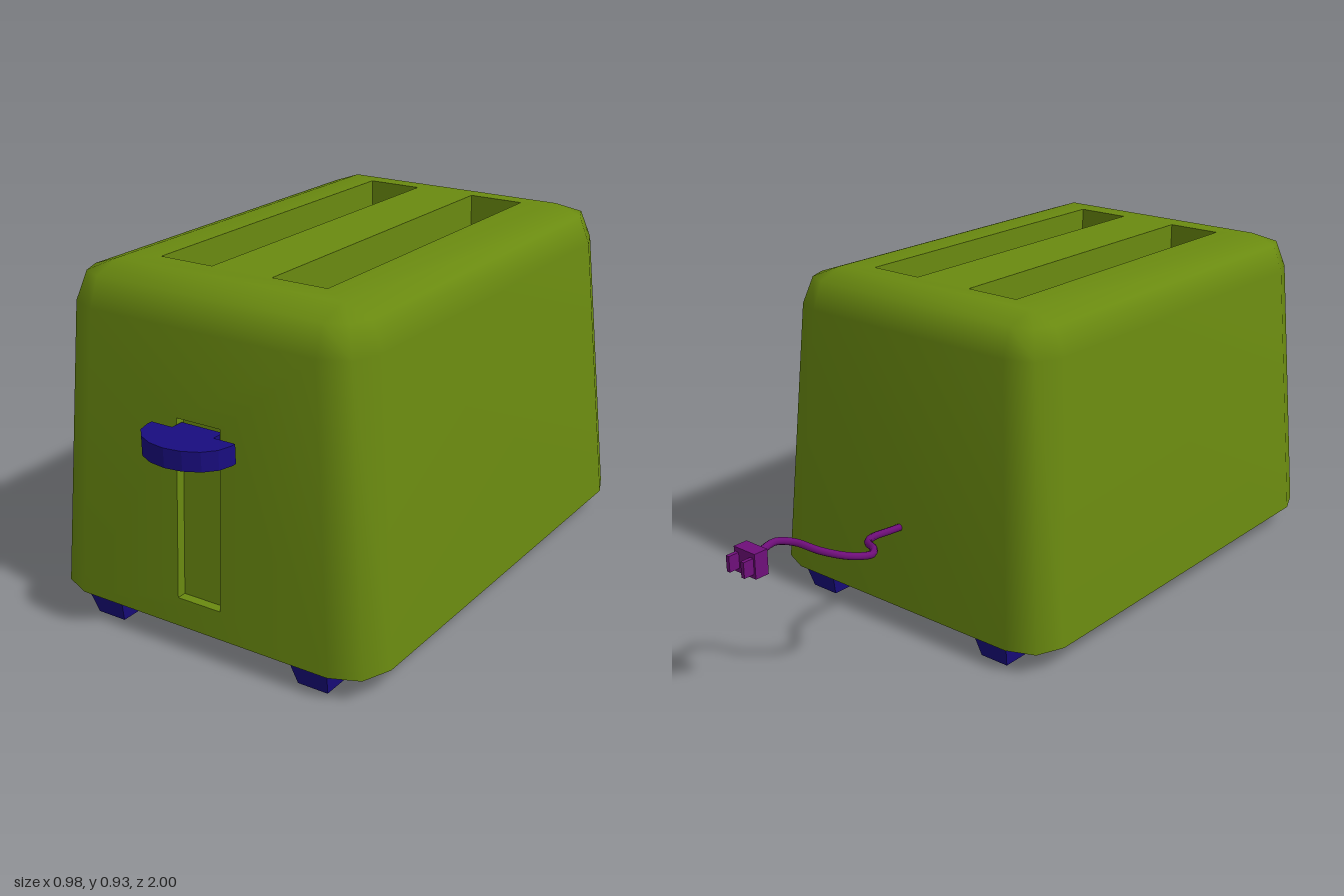
import * as THREE from 'three';
import { mergeVertices } from 'three/addons/utils/BufferGeometryUtils.js';

const green = new THREE.MeshStandardMaterial({ color: 0x6a8a10 });
const blue = new THREE.MeshStandardMaterial({ color: 0x190d80, flatShading: true });
const purple = new THREE.MeshStandardMaterial({ color: 0x6f0f7a });

const ZC = 0.228; // body centre along z
const SLOT = { x: 0.168, w: 0.157, z0: -0.25, z1: 0.69, floor: 0.25 };
const TRACK = { w: 0.13, y0: 0.14, y1: 0.605, depth: 0.025 };

// Body levels: height, half width, half length, corner radius
const LEVELS = [
  [0.065, 0.488, 0.683, 0.108],
  [0.825, 0.437, 0.632, 0.107],
  [0.9, 0.407, 0.602, 0.077],
  [0.927, 0.33, 0.525, 0],
];
const [BASE, SHOULDER, , TOP] = LEVELS;
// Depth of the sloping front wall at height y
const frontZ = (y) =>
  ZC + THREE.MathUtils.mapLinear(y, BASE[0], SHOULDER[0], BASE[2], SHOULDER[2]);

function mesh(name, geometry, material) {
  const m = new THREE.Mesh(geometry, material);
  m.name = name;
  return m;
}

// Rounded rectangle with two segments per corner
function ring([y, hx, hz, r]) {
  const pts = [];
  [[1, 1], [-1, 1], [-1, -1], [1, -1]].forEach(([sx, sz], k) => {
    for (let j = 0; j < 3; j++) {
      const a = (k + j / 2) * Math.PI / 2;
      pts.push([sx * (hx - r) + r * Math.cos(a), y, ZC + sz * (hz - r) + r * Math.sin(a)]);
    }
  });
  return pts;
}

const rect = (x0, y0, x1, y1) =>
  [[x0, y0], [x1, y0], [x1, y1], [x0, y1]].map(([x, y]) => new THREE.Vector2(x, y));

// Flat panel with rectangular openings, returned as loose triangle corners
function panel(outline, holes, place) {
  const shape = new THREE.Shape(outline);
  holes.forEach((h) => shape.holes.push(new THREE.Path(h)));
  const p = new THREE.ShapeGeometry(shape).toNonIndexed().attributes.position;
  const out = [];
  for (let i = 0; i < p.count; i++) out.push(...place(p.getX(i), p.getY(i)));
  return out;
}

function fromTriangles(positions) {
  const g = new THREE.BufferGeometry();
  g.setAttribute('position', new THREE.Float32BufferAttribute(positions, 3));
  return g;
}

// Box seen from inside, with one face left open
function pit(w, h, d, openFace) {
  const g = new THREE.BoxGeometry(w, h, d);
  const index = Array.from(g.index.array);
  index.splice(openFace * 6, 6);
  g.setIndex(index.reverse());
  g.computeVertexNormals();
  return g;
}

function createBody() {
  const body = new THREE.Group();
  body.name = 'body';
  const rings = LEVELS.map(ring);
  const n = rings[0].length;
  const tris = [];
  for (let l = 0; l < rings.length - 1; l++) {
    for (let i = 0; i < n; i++) {
      if (l === 0 && i === 2) continue; // front wall is the panel with the lever track
      const j = (i + 1) % n;
      const a = rings[l][i], b = rings[l + 1][i], c = rings[l + 1][j], d = rings[l][j];
      tris.push(...a, ...b, ...c, ...a, ...c, ...d);
    }
  }
  // Front wall
  const bx = BASE[1] - BASE[3], sx = SHOULDER[1] - SHOULDER[3];
  const wall = [[-bx, BASE[0]], [bx, BASE[0]], [sx, SHOULDER[0]], [-sx, SHOULDER[0]]]
    .map(([x, y]) => new THREE.Vector2(x, y));
  tris.push(...panel(wall, [rect(-TRACK.w / 2, TRACK.y0, TRACK.w / 2, TRACK.y1)],
    (x, y) => [x, y, frontZ(y)]));
  // Top with two bread openings
  const openings = [-1, 1].map((s) =>
    rect(s * SLOT.x - SLOT.w / 2, -SLOT.z1, s * SLOT.x + SLOT.w / 2, -SLOT.z0));
  tris.push(...panel(rect(-TOP[1], -ZC - TOP[2], TOP[1], -ZC + TOP[2]), openings,
    (x, y) => [x, TOP[0], -y]));
  const shell = mergeVertices(fromTriangles(tris), 1e-4);
  shell.computeVertexNormals();
  body.add(mesh('shell', shell, green));

  // Underside
  const under = [];
  rings[0].forEach((p, i) => under.push(0, BASE[0], ZC, ...p, ...rings[0][(i + 1) % n]));
  const bottom = fromTriangles(under);
  bottom.computeVertexNormals();
  body.add(mesh('underside', bottom, green));

  // Bread slots
  const depth = TOP[0] - SLOT.floor;
  for (const s of [-1, 1]) {
    const slot = mesh('breadSlot', pit(SLOT.w, depth, SLOT.z1 - SLOT.z0, 2), green);
    slot.position.set(s * SLOT.x, TOP[0] - depth / 2, (SLOT.z0 + SLOT.z1) / 2);
    body.add(slot);
  }

  // Lever track, sheared to follow the sloping wall
  const track = pit(TRACK.w, TRACK.y1 - TRACK.y0, TRACK.depth, 4);
  track.translate(0, (TRACK.y0 + TRACK.y1) / 2, -TRACK.depth / 2);
  const p = track.attributes.position;
  for (let i = 0; i < p.count; i++) p.setZ(i, p.getZ(i) + frontZ(p.getY(i)));
  track.computeVertexNormals();
  body.add(mesh('leverTrack', track, green));
  return body;
}

// Half-round lever with a neck reaching into the track
function createLever() {
  const pts = [[-0.062, -0.86], [-0.062, -0.895], [-0.125, -0.895]]
    .map(([x, y]) => new THREE.Vector2(x, y));
  for (let i = 0; i <= 8; i++) {
    const a = Math.PI * (1 + i / 8);
    pts.push(new THREE.Vector2(0.125 * Math.cos(a), -0.91 + 0.09 * Math.sin(a)));
  }
  pts.push(new THREE.Vector2(0.125, -0.895), new THREE.Vector2(0.062, -0.895),
    new THREE.Vector2(0.062, -0.86));
  const g = new THREE.ExtrudeGeometry(new THREE.Shape(pts), { depth: 0.05, bevelEnabled: false });
  g.rotateX(-Math.PI / 2).translate(0, 0.54, 0);
  return mesh('lever', g, blue);
}

function createFoot(x, z) {
  const g = new THREE.BoxGeometry(0.11, 0.066, 0.15);
  const p = g.attributes.position;
  for (let i = 0; i < p.count; i++) {
    if (p.getY(i) < 0) p.setXYZ(i, p.getX(i) * 0.78, p.getY(i), p.getZ(i) * 0.75);
  }
  g.computeVertexNormals();
  const foot = mesh('foot', g, blue);
  foot.position.set(x, 0.033, z);
  return foot;
}

function createCord() {
  const group = new THREE.Group();
  group.name = 'powerCord';
  const path = new THREE.CatmullRomCurve3([
    [0, 0.293, -0.43], [-0.012, 0.305, -0.49], [-0.035, 0.325, -0.57], [-0.075, 0.343, -0.63],
    [-0.135, 0.357, -0.67], [-0.163, 0.365, -0.71], [-0.145, 0.377, -0.765],
    [-0.095, 0.392, -0.81], [-0.03, 0.405, -0.835], [0, 0.41, -0.87],
    [0.002, 0.402, -0.91], [-0.003, 0.392, -0.945],
  ].map((p) => new THREE.Vector3(...p)));
  group.add(mesh('cord', new THREE.TubeGeometry(path, 60, 0.01, 8), purple));

  // Plug and its two prongs
  const plug = mesh('plug', new THREE.BoxGeometry(0.074, 0.066, 0.04), purple);
  plug.position.set(-0.003, 0.392, -0.95);
  group.add(plug);
  for (const s of [-1, 1]) {
    const prong = mesh('prong', new THREE.BoxGeometry(0.011, 0.042, 0.034), purple);
    prong.position.set(-0.003 + s * 0.026, 0.392, -0.983);
    group.add(prong);
  }
  return group;
}

export function createModel() {
  const model = new THREE.Group();
  model.name = 'toaster';
  model.add(createBody(), createLever(), createCord());
  for (const x of [-0.317, 0.317]) {
    for (const z of [0.825, -0.367]) model.add(createFoot(x, z));
  }
  return model;
}
